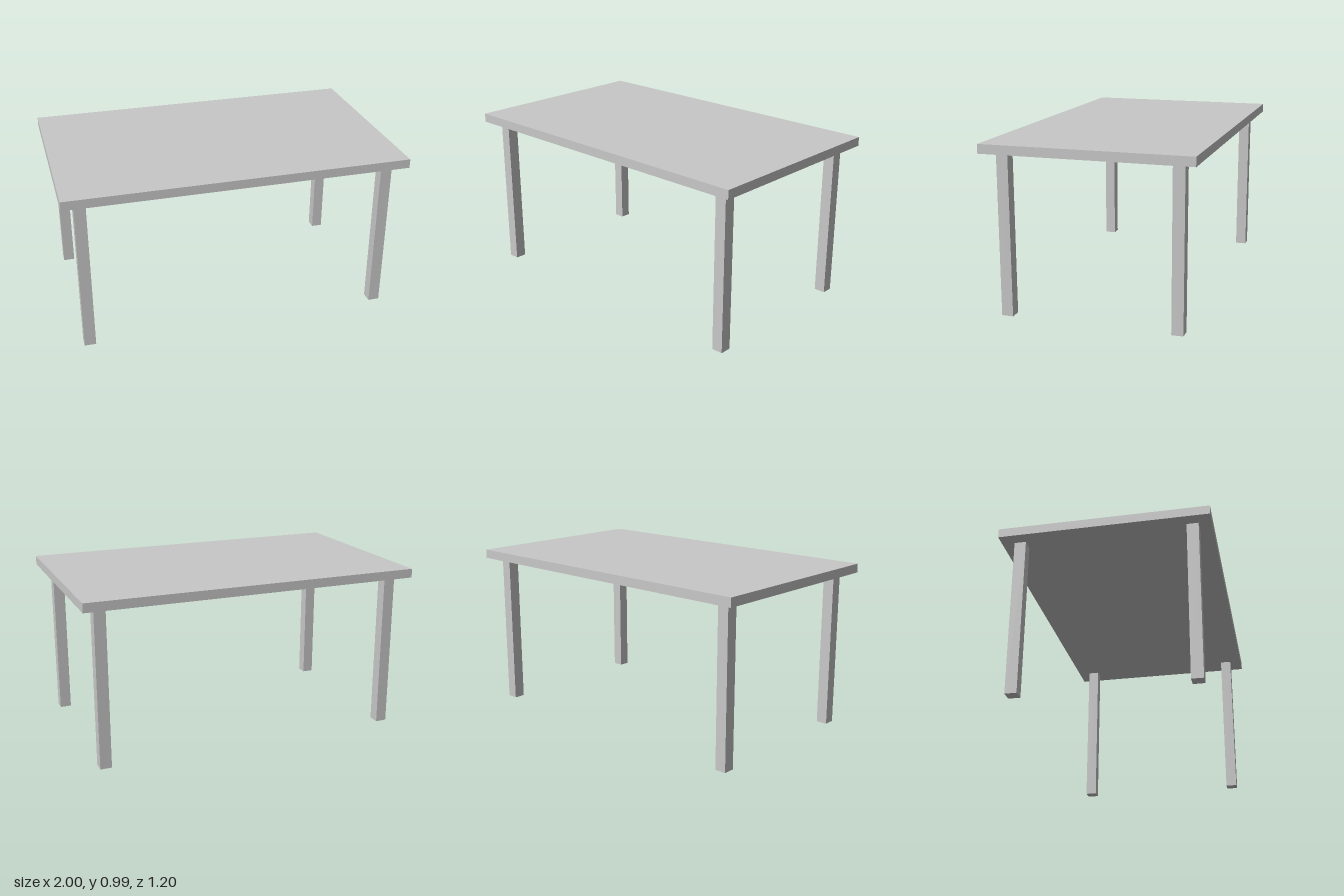
import * as THREE from 'three';

export function createModel() {
  const model = new THREE.Group();
  model.name = 'table';
  const grey = new THREE.MeshStandardMaterial({ color: 0xc8c8c8 });
  grey.name = 'light grey';

  const height = 0.988, thickness = 0.053, legWidth = 0.067;
  const legHeight = height - thickness;

  // Table top
  const top = new THREE.Mesh(new THREE.BoxGeometry(2, thickness, 1.198), grey);
  top.name = 'tableTop';
  top.position.y = height - thickness / 2;
  model.add(top);

  // Four square legs, set in from the corners
  const legGeometry = new THREE.BoxGeometry(legWidth, legHeight, legWidth);
  for (const [zName, z] of [['front', 1], ['back', -1]]) {
    for (const [xName, x] of [['Left', 1], ['Right', -1]]) {
      const leg = new THREE.Mesh(legGeometry, grey);
      leg.name = `${zName}${xName}Leg`;
      leg.position.set(x * 0.893, legHeight / 2, z * 0.493);
      model.add(leg);
    }
  }
  return model;
}
